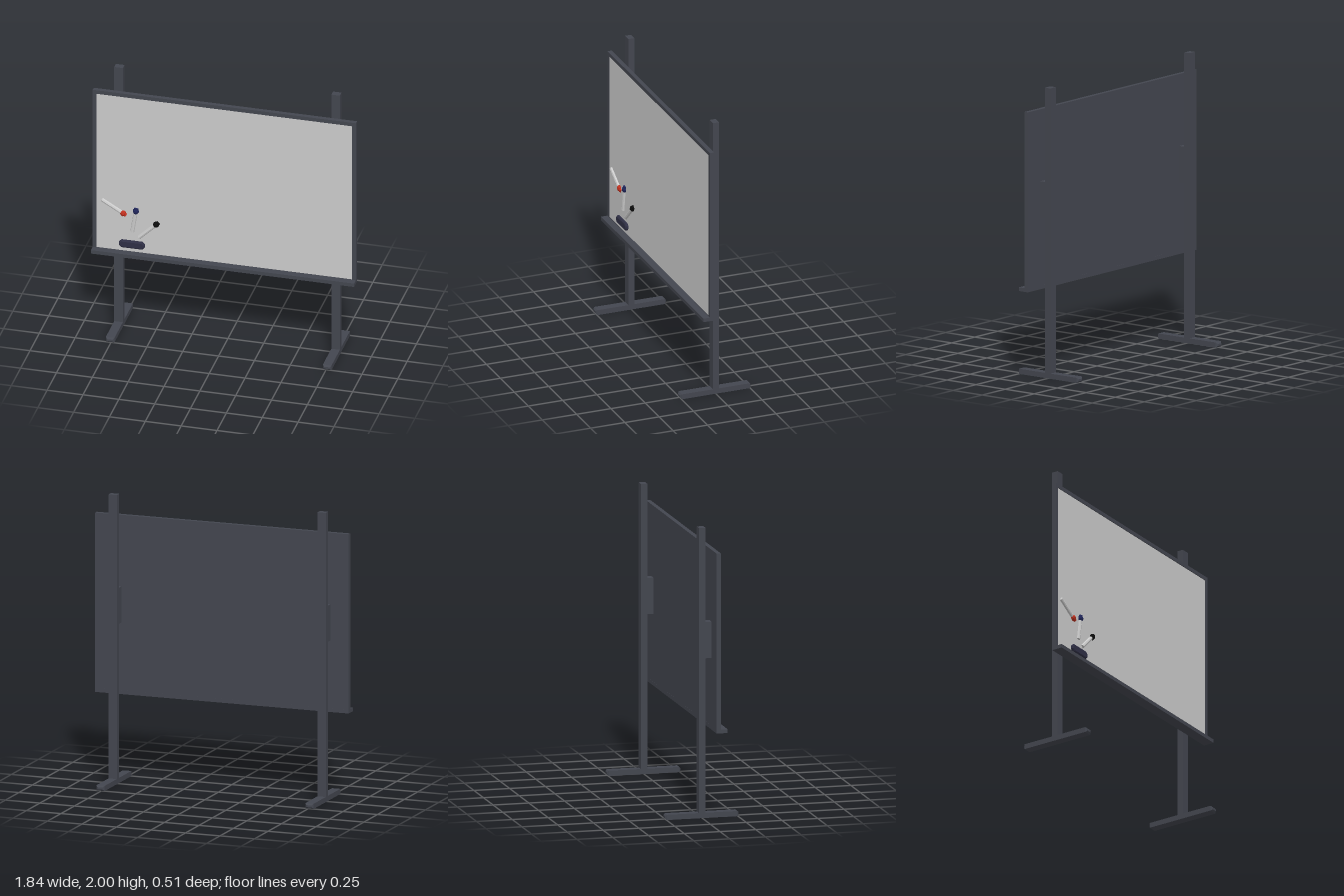
import * as THREE from 'three';

const paint = (color) => new THREE.MeshStandardMaterial({ color, flatShading: true });
const dark = paint(0x43464f);
const grey = paint(0xcccccc);

function part(parent, name, geometry, material, x = 0, y = 0, z = 0) {
  const mesh = new THREE.Mesh(geometry, material);
  mesh.name = name;
  mesh.position.set(x, y, z);
  parent.add(mesh);
  return mesh;
}

// Box whose two z ends taper inward by a chamfer
function chamferedBar(w, h, d, c) {
  const geo = new THREE.BoxGeometry(w, h, d, 1, 1, 3);
  const p = geo.attributes.position;
  for (let i = 0; i < p.count; i++) {
    const z = p.getZ(i);
    if (Math.abs(z) > d * 0.49) {
      p.setXY(i, p.getX(i) * (1 - 2 * c / w), p.getY(i) * (1 - 2 * c / h));
    } else {
      p.setZ(i, Math.sign(z) * (d / 2 - c));
    }
  }
  geo.computeVertexNormals();
  return geo;
}

// Rectangle path centred on the origin
function rect(target, w, h) {
  target.moveTo(-w / 2, -h / 2);
  target.lineTo(w / 2, -h / 2);
  target.lineTo(w / 2, h / 2);
  target.lineTo(-w / 2, h / 2);
  target.closePath();
  return target;
}

// Marker lying flat on the board, from tail to cap end
function marker(name, tail, tip, color) {
  const group = new THREE.Group();
  group.name = name;
  const dx = tip[0] - tail[0], dy = tip[1] - tail[1];
  const length = Math.hypot(dx, dy), capLength = 0.042;
  const barrel = length - capLength;
  part(group, 'markerBarrel', new THREE.CylinderGeometry(0.014, 0.014, barrel, 8), grey, 0, barrel / 2, 0);
  const cap = new THREE.LatheGeometry([
    [0, 0], [0.014, 0], [0.021, 0.011], [0.021, 0.026], [0.015, 0.03], [0.014, capLength], [0, capLength],
  ].map(([r, y]) => new THREE.Vector2(r, y)), 8);
  part(group, 'markerCap', cap, paint(color), 0, barrel, 0);
  group.position.set(tail[0], tail[1], 0.092);
  group.rotation.z = Math.atan2(-dx, dy);
  return group;
}

export function createModel() {
  const model = new THREE.Group();
  model.name = 'whiteboard';

  // Stands: post, foot and bracket on each side
  for (const side of [-1, 1]) {
    const stand = new THREE.Group();
    stand.name = side > 0 ? 'leftStand' : 'rightStand';
    stand.position.x = side * 0.757;
    part(stand, 'post', new THREE.BoxGeometry(0.06, 1.97, 0.045), dark, 0, 1.015, 0);
    part(stand, 'foot', chamferedBar(0.06, 0.036, 0.515, 0.011), dark, 0, 0.018, 0);
    part(stand, 'bracket', new THREE.BoxGeometry(0.058, 0.25, 0.048), dark, 0, 1.225, 0.044);
    model.add(stand);
  }

  // Board: backing, writing surface, surrounding frame and tray
  const board = new THREE.Group();
  board.name = 'board';
  const W = 1.836, H = 1.24, rim = 0.027, midY = 1.225;
  part(board, 'backing', new THREE.BoxGeometry(W - 0.02, H - 0.02, 0.018), dark, 0, midY, 0.0755);
  part(board, 'writingSurface', new THREE.BoxGeometry(W - rim * 1.5, H - rim * 1.5, 0.008), grey, 0, midY, 0.087);
  const outline = rect(new THREE.Shape(), W, H);
  outline.holes.push(rect(new THREE.Path(), W - 2 * rim, H - 2 * rim));
  part(board, 'frame', new THREE.ExtrudeGeometry(outline, { depth: 0.03, bevelEnabled: false }), dark, 0, midY, 0.066);
  part(board, 'tray', new THREE.BoxGeometry(W, 0.026, 0.05), dark, 0, 0.618, 0.118);
  model.add(board);

  // Markers
  model.add(marker('redMarker', [-0.855, 1.005], [-0.685, 0.907], 0xc0301f));
  model.add(marker('blueMarker', [-0.643, 0.786], [-0.614, 0.972], 0x20265c));
  model.add(marker('blackMarker', [-0.595, 0.749], [-0.458, 0.882], 0x0b0b0b));

  // Eraser: octagonal block with a bevelled face
  const w = 0.082, h = 0.019, c = 0.012;
  const block = new THREE.Shape([
    [-w + c, -h], [w - c, -h], [w, -h + c], [w, h - c], [w - c, h], [-w + c, h], [-w, h - c], [-w, -h + c],
  ].map(([x, y]) => new THREE.Vector2(x, y)));
  const eraser = new THREE.ExtrudeGeometry(block, {
    depth: 0.014, bevelThickness: 0.006, bevelSize: 0.008, bevelSegments: 1,
  });
  part(model, 'eraser', eraser, paint(0x2f2f45), -0.643, 0.691, 0.093);

  return model;
}
